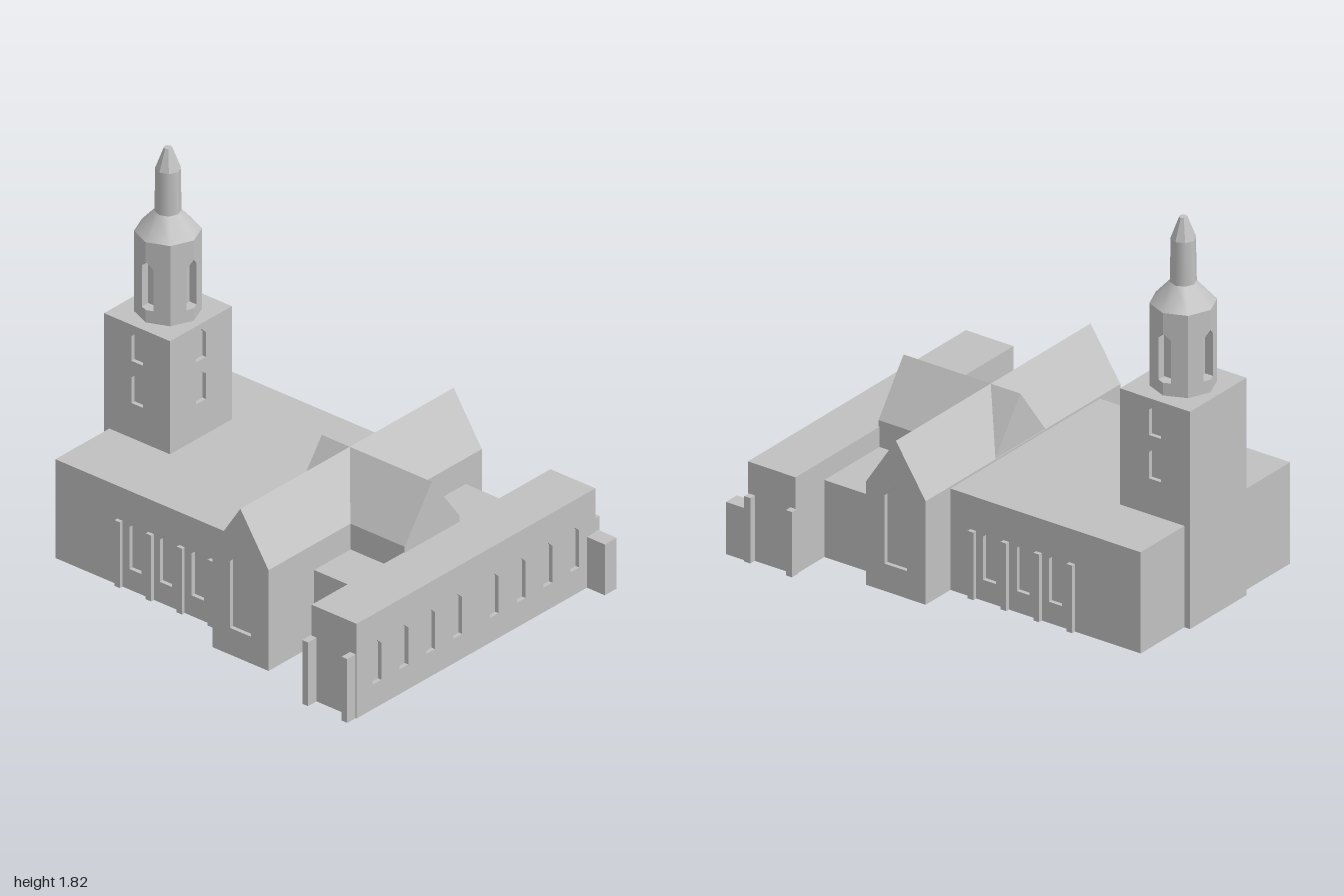
import * as THREE from 'three';

const stone = new THREE.MeshStandardMaterial({ color: 0xc0c0c0 });
stone.name = 'stone grey';
const DEPTH = 0.02; // depth of the window recesses

function add(parent, name, geometry) {
  const mesh = new THREE.Mesh(geometry, stone);
  mesh.name = name;
  parent.add(mesh);
  return mesh;
}

// Box given by its limits on each axis
function block(parent, name, x0, x1, y0, y1, z0, z1) {
  const g = new THREE.BoxGeometry(x1 - x0, y1 - y0, z1 - z0);
  g.translate((x0 + x1) / 2, (y0 + y1) / 2, (z0 + z1) / 2);
  return add(parent, name, g);
}

const outline = (pts) => new THREE.Shape(pts.map(([x, y]) => new THREE.Vector2(x, y)));
const rect = (a, b, h) => [[a, 0], [b, 0], [b, h], [a, h]];
const house = (a, b, base, eave, ridge) =>
  [[a, base], [b, base], [b, eave], [(a + b) / 2, ridge], [a, eave]];

// Wall skin whose pointed windows are cut through; outer face at distance "face"
// windows: [centre, width, sill, spring, apex]
function wall(parent, name, pts, windows, face, turn) {
  const shape = outline(pts);
  for (const [u, w, sill, spring, apex] of windows) {
    shape.holes.push(outline(house(u - w / 2, u + w / 2, sill, spring, apex)));
  }
  const g = new THREE.ExtrudeGeometry(shape, { depth: DEPTH, bevelEnabled: false });
  g.translate(0, 0, face - DEPTH);
  g.rotateY(turn);
  return add(parent, name, g);
}

// Octagonal belfry lofted from rings, with niches cut into four corners
function belfryGeometry(R) {
  const W = 0.033, D = 0.04, t = Math.tan(Math.PI / 8);
  const rings = [ // height, niche half width, niche depth
    [1.03, 0, 0], [1.09, 0, 0], [1.09, W, D], [1.29, W, D],
    [1.325, 0, D], [1.325, 0, 0], [1.42, 0, 0],
  ];
  const pos = [], index = [], n = 20;
  for (const [y, w, d] of rings) {
    for (let k = 0; k < 4; k++) {
      const c = Math.cos(k * Math.PI / 2), s = Math.sin(k * Math.PI / 2);
      const r = R - w * t, q = R * Math.SQRT1_2;
      for (const [a, b] of [[r, -w], [r - d, -w], [r - d, w], [r, w], [q, q]]) {
        pos.push(a * c - b * s, y, -(a * s + b * c));
      }
    }
  }
  for (let i = 0; i < rings.length - 1; i++) {
    for (let j = 0; j < n; j++) {
      const a = i * n + j, b = i * n + (j + 1) % n;
      index.push(a, b, b + n, a, b + n, a + n);
    }
  }
  const g = new THREE.BufferGeometry();
  g.setAttribute('position', new THREE.Float32BufferAttribute(pos, 3));
  g.setIndex(index);
  const flat = g.toNonIndexed();
  flat.computeVertexNormals();
  return flat;
}

function createTower() {
  const tower = new THREE.Group();
  tower.name = 'tower';
  const cx = -0.815, top = 1.03;
  const rows = (u) => [[u, 0.064, 0.65, 0.775, 0.8], [u, 0.064, 0.855, 0.975, 1.005]];
  block(tower, 'towerCore', -1, -0.63 - DEPTH, 0, top, -0.2 + DEPTH, 0.2 - DEPTH);
  wall(tower, 'towerFrontWall', rect(-1, -0.63, top), rows(cx), 0.2, 0);
  wall(tower, 'towerBackWall', rect(0.63, 1, top), rows(-cx), 0.2, Math.PI);
  wall(tower, 'towerInnerWall', rect(-0.18, 0.18, top), rows(0), -0.63, Math.PI / 2);

  add(tower, 'belfry', belfryGeometry(0.145)).position.x = cx;
  const lathe = (pts) => new THREE.LatheGeometry(pts.map(([r, y]) => new THREE.Vector2(r, y)), 8);
  add(tower, 'spireSkirt', lathe([[0.145, 1.42], [0.058, 1.515]])).position.x = cx;
  add(tower, 'spireNeck', lathe([[0.058, 1.515], [0.054, 1.725]])).position.x = cx;
  const tip = lathe([[0.056, 1.72], [0.018, 1.82], [0, 1.82]]).toNonIndexed();
  tip.computeVertexNormals();
  add(tower, 'spireTip', tip).position.x = cx;
  return tower;
}

function createHall() {
  const hall = new THREE.Group();
  hall.name = 'hall';
  const z0 = -0.51, z1 = 0.55, h = 0.48;
  const xs = [-0.52, -0.35, -0.172];
  const win = (u) => [u, 0.068, 0.1, 0.305, 0.337];
  block(hall, 'hallCore', -0.97, 0.04, 0, h, z0 + DEPTH, z1 - DEPTH);
  wall(hall, 'hallFrontWall', rect(-0.97, 0.04, h), xs.map(win), z1, 0);
  wall(hall, 'hallBackWall', rect(-0.04, 0.97, h), xs.map((x) => win(-x)), -z0, Math.PI);
  for (const x of [-0.608, -0.433, -0.26, -0.086]) {
    block(hall, 'hallButtress', x - 0.015, x + 0.015, 0, 0.32, z1 - 0.01, z1 + 0.018);
    block(hall, 'hallButtress', x - 0.015, x + 0.015, 0, 0.32, z0 - 0.02, z0 + 0.01);
  }
  return hall;
}

function createCrossing() {
  const crossing = new THREE.Group();
  crossing.name = 'crossing';
  const z0 = -0.685, z1 = 0.695, eave = 0.49, ridge = 0.73;
  const win = (u) => [[u, 0.118, 0.13, 0.455, 0.51]];
  // Gabled transept
  const core = new THREE.ExtrudeGeometry(outline(house(0.035, 0.35, 0, eave, ridge)),
    { depth: z1 - z0 - 2 * DEPTH, bevelEnabled: false });
  core.translate(0, 0, z0 + DEPTH);
  add(crossing, 'transept', core);
  wall(crossing, 'transeptFrontGable', house(0.035, 0.35, 0, eave, ridge), win(0.193), z1, 0);
  wall(crossing, 'transeptBackGable', house(-0.35, -0.035, 0, eave, ridge), win(-0.193), -z0, Math.PI);
  // Gabled arm crossing it at right angles
  const arm = new THREE.ExtrudeGeometry(outline(house(-0.165, 0.19, 0.3, eave, ridge)),
    { depth: 0.617, bevelEnabled: false });
  arm.translate(0, 0, 0.036);
  arm.rotateY(Math.PI / 2);
  add(crossing, 'crossArm', arm);
  block(crossing, 'lowConnector', 0.34, 0.66, 0, 0.365, -0.58, 0.4);
  return crossing;
}

function createEndWing() {
  const wing = new THREE.Group();
  wing.name = 'endWing';
  const x0 = 0.648, x1 = 0.9, z0 = -0.785, z1 = 0.76, h = 0.46;
  block(wing, 'wingCore', x0, x1 - DEPTH, 0, h, z0, z1);
  const zs = [0.628, 0.454, 0.28, 0.106, -0.13, -0.304, -0.478, -0.652];
  wall(wing, 'wingOuterWall', rect(-z1, -z0, h),
    zs.map((z) => [-z, 0.056, 0.12, 0.3, 0.325]), x1, Math.PI / 2);
  for (const x of [0.643, 0.863]) {
    block(wing, 'wingButtress', x, x + 0.032, 0, 0.31, z1 - 0.01, 0.815);
    block(wing, 'wingButtress', x, x + 0.032, 0, 0.31, -0.817, z0 + 0.01);
  }
  block(wing, 'annex', 0.89, 1, 0, 0.247, -0.807, -0.73);
  return wing;
}

export function createModel() {
  const model = new THREE.Group();
  model.name = 'church';
  model.add(createTower(), createHall(), createCrossing(), createEndWing());
  return model;
}
